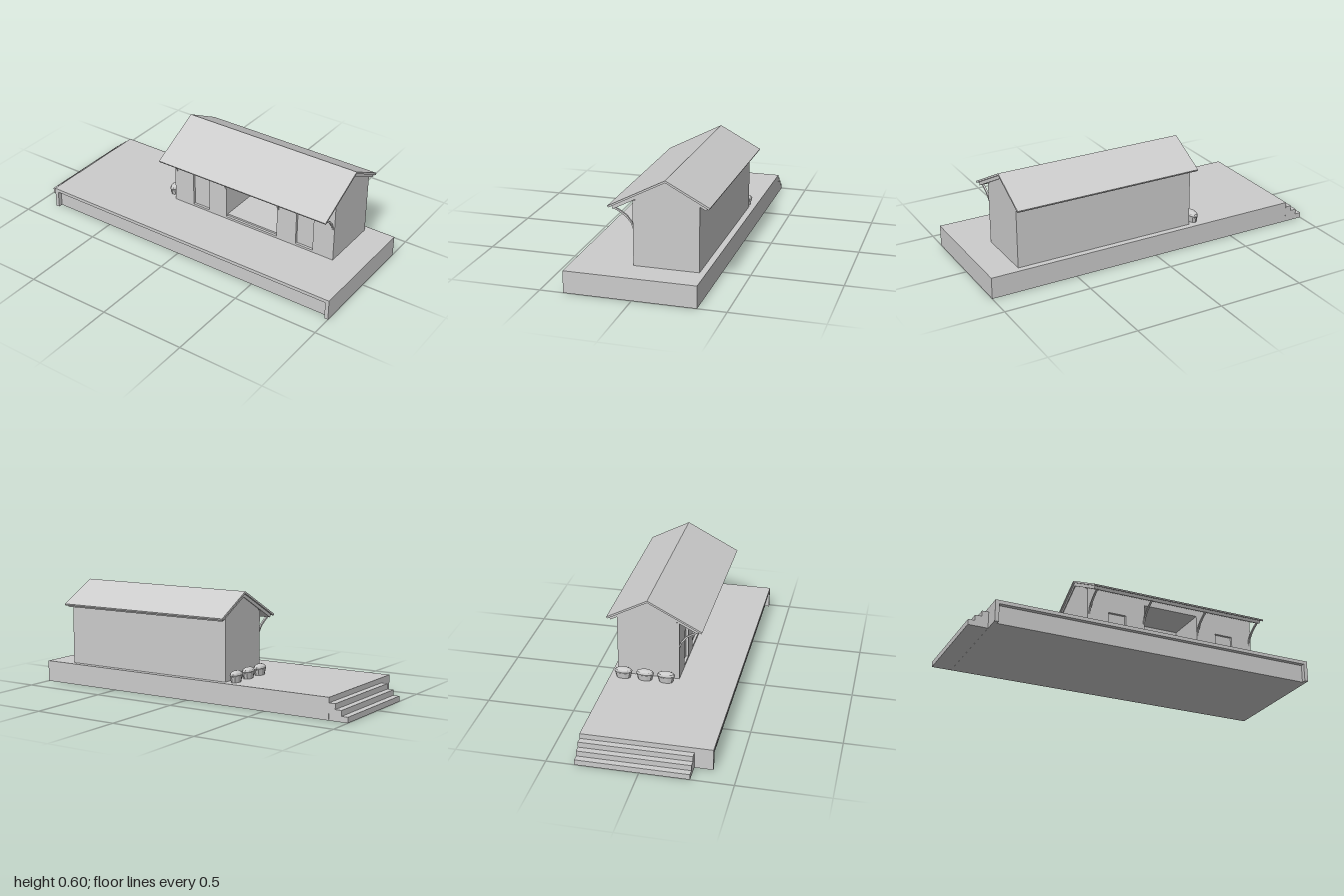
import * as THREE from 'three';

const mat = new THREE.MeshStandardMaterial({ color: 0xcccccc, flatShading: true });
const thinMat = new THREE.MeshStandardMaterial({ color: 0xcccccc, flatShading: true, side: THREE.DoubleSide });

export function createModel() {
  const model = new THREE.Group();

  const add = (name, geometry, material = mat, parent = model) => {
    const mesh = new THREE.Mesh(geometry, material);
    mesh.name = name;
    parent.add(mesh);
    return mesh;
  };

  // Box given by its limits on each axis
  const box = (name, x0, x1, y0, y1, z0, z1) => {
    const g = new THREE.BoxGeometry(x1 - x0, y1 - y0, z1 - z0);
    g.translate((x0 + x1) / 2, (y0 + y1) / 2, (z0 + z1) / 2);
    return add(name, g);
  };

  // Profile of [z, y] points extruded along x
  const prism = (name, points, x0, x1) => {
    const shape = new THREE.Shape(points.map(([z, y]) => new THREE.Vector2(-z, y)));
    const g = new THREE.ExtrudeGeometry(shape, { depth: x1 - x0, bevelEnabled: false });
    g.rotateY(Math.PI / 2).translate(x0, 0, 0);
    return add(name, g);
  };

  const rect = (Type, x0, x1, y0, y1) => {
    const s = new Type();
    s.moveTo(x0, y0).lineTo(x1, y0).lineTo(x1, y1).lineTo(x0, y1).closePath();
    return s;
  };

  // Platform with a front lip and an upright at either end
  const deck = 0.122;
  box('platform', -0.89, 1, 0, deck, -0.345, 0.345);
  box('platformLip', -0.89, 1, 0.102, deck, 0.345, 0.37);
  box('platformUpright', -0.89, -0.868, 0, 0.102, 0.345, 0.37);
  box('platformUpright', 0.978, 1, 0, 0.102, 0.345, 0.37);

  // Steps at one end
  prismSteps();
  function prismSteps() {
    for (let i = 0; i < 3; i++) {
      const x = -1 + i * 0.0365;
      box('step', x, x + 0.0365, 0, 0.031 * (i + 1), -0.345, 0.27);
    }
  }

  // Station house: two solid wings and a recessed waiting bay
  const ridge = -0.133, back = -0.31, skin = 0.03, front = 0.045;
  const wing = [[skin, deck], [skin, 0.484], [ridge, 0.572], [back, 0.477], [back, deck]];
  prism('leftWing', wing, 0.465, 0.83);
  prism('rightWing', wing, -0.235, 0.125);
  prism('waitingBay', [
    [skin, deck], [skin, 0.145], [-0.21, 0.145], [-0.21, 0.44], [skin, 0.44],
    [skin, 0.484], [ridge, 0.572], [back, 0.477], [back, deck],
  ], 0.125, 0.465);

  // Front wall with openings for the doors and the bay
  const wall = rect(THREE.Shape, -0.235, 0.83, deck, 0.477);
  wall.holes.push(
    rect(THREE.Path, -0.105, 0.005, 0.135, 0.35),
    rect(THREE.Path, 0.59, 0.7, 0.135, 0.35),
    rect(THREE.Path, 0.125, 0.465, 0.135, 0.44),
  );
  const wallGeo = new THREE.ExtrudeGeometry(wall, { depth: front - skin, bevelEnabled: false });
  add('frontWall', wallGeo.translate(0, 0, skin));

  // Roof covering over a slightly smaller under-layer
  prism('roofCovering', [
    [0.177, 0.44], [ridge, 0.602], [-0.367, 0.478],
    [-0.362, 0.468], [ridge, 0.59], [0.172, 0.431],
  ], -0.25, 0.845);
  prism('roofBoards', [
    [0.157, 0.4385], [ridge, 0.59], [-0.352, 0.474],
    [-0.345, 0.459], [ridge, 0.57], [0.15, 0.422],
  ], -0.24, 0.835);

  // Curved brackets under the front eave
  const bracket = [
    [0.045, 0.315], [0.059, 0.351], [0.083, 0.381], [0.115, 0.403], [0.153, 0.423],
    [0.145, 0.43], [0.111, 0.412], [0.078, 0.39], [0.053, 0.357], [0.043, 0.33],
  ];
  for (const x of [-0.222, 0.12, 0.47, 0.817]) prism('eaveBracket', bracket, x - 0.005, x + 0.005);

  // Planters with clipped bushes against the end wall
  for (const z of [-0.268, -0.143, -0.022]) {
    const planter = new THREE.Group();
    planter.name = 'planter';
    planter.position.set(-0.278, deck, z);
    model.add(planter);
    const pot = new THREE.CylinderGeometry(0.027, 0.022, 0.034, 10);
    add('pot', pot.scale(1, 1, 1.8).translate(0, 0.017, 0), thinMat, planter);
    const bush = new THREE.SphereGeometry(1, 10, 6);
    add('bush', bush.scale(0.028, 0.023, 0.053).translate(0, 0.04, 0), mat, planter);
  }

  return model;
}
